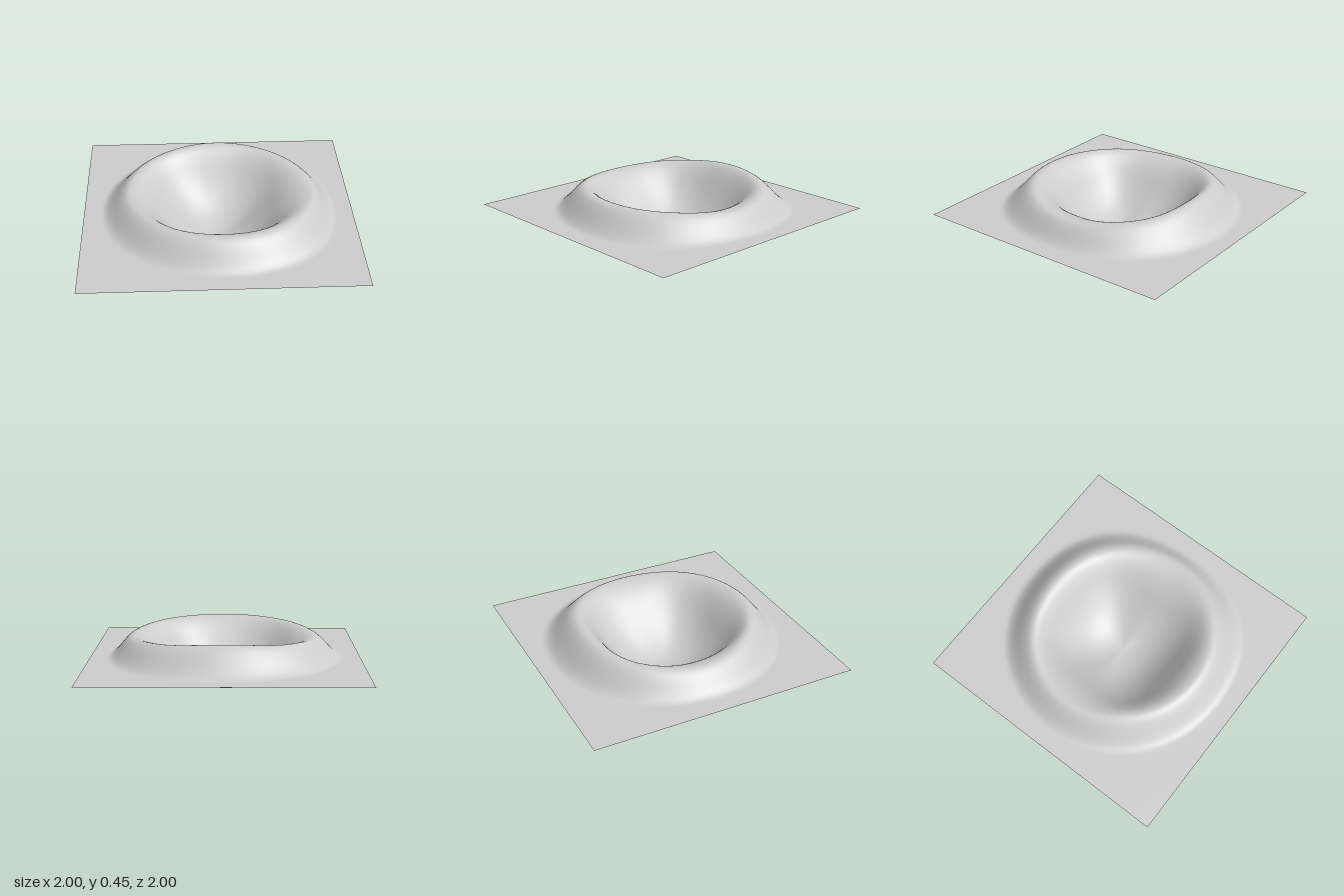
import * as THREE from 'three';

const GROUND = 0.245;

// Crater shape every 45 degrees, from +x round through +z:
// bowl radius at ground level, crest radius, crest height, foot radius, bowl roundness
const KNOTS = [
  [0.41, 0.69, 0.395, 0.87, 1.7],
  [0.46, 0.67, 0.42, 0.92, 2.1],
  [0.43, 0.65, 0.43, 0.87, 2.5],
  [0.46, 0.64, 0.42, 0.87, 2.2],
  [0.42, 0.66, 0.395, 0.87, 1.8],
  [0.46, 0.65, 0.42, 0.88, 2.1],
  [0.43, 0.62, 0.45, 0.88, 2.4],
  [0.46, 0.66, 0.42, 0.91, 2.0],
];

// Smooth periodic blend of the knots around the crater
function shapeAt(angle) {
  const n = KNOTS.length;
  const u = ((angle / (2 * Math.PI) + 1) % 1) * n;
  const i = Math.floor(u), t = u - i;
  const k = (j) => KNOTS[(i + j + n) % n];
  return k(0).map((b, c) => {
    const a = k(-1)[c], d = k(1)[c], e = k(2)[c];
    return b + 0.5 * t * (d - a + t * (2 * a - 5 * b + 4 * d - e + t * (3 * (b - d) + e - a)));
  });
}

// Radial profile: bowl, inner wall, crest, outer slope, flat ground
function heightAt(x, z) {
  const r = Math.hypot(x, z);
  const [bowl, crest, top, foot, power] = shapeAt(Math.atan2(z, x));
  if (r < bowl) return GROUND * Math.pow(r / bowl, power);
  if (r < crest) {
    const w = crest - bowl, t = (r - bowl) / w;
    const slope = (power * GROUND / bowl) * w;
    const s = t * t * (3 - 2 * t);
    return GROUND + (top - GROUND) * s + slope * t * (1 - t) * (1 - t);
  }
  if (r < foot) {
    const t = (r - crest) / (foot - crest);
    return top + (GROUND - top) * t * t * (3 - 2 * t);
  }
  return GROUND;
}

export function createModel() {
  const group = new THREE.Group();
  group.name = 'crater';

  const stone = new THREE.MeshStandardMaterial({ color: 0xcccccc, side: THREE.DoubleSide });
  stone.name = 'greyStone';

  // Square sheet of ground raised and sunk into the crater
  const sheet = new THREE.PlaneGeometry(2, 2, 120, 120).rotateX(-Math.PI / 2);
  const p = sheet.attributes.position;
  for (let i = 0; i < p.count; i++) p.setY(i, heightAt(p.getX(i), p.getZ(i)));
  sheet.computeVertexNormals();

  const terrain = new THREE.Mesh(sheet, stone);
  terrain.name = 'craterTerrain';
  group.add(terrain);
  return group;
}
